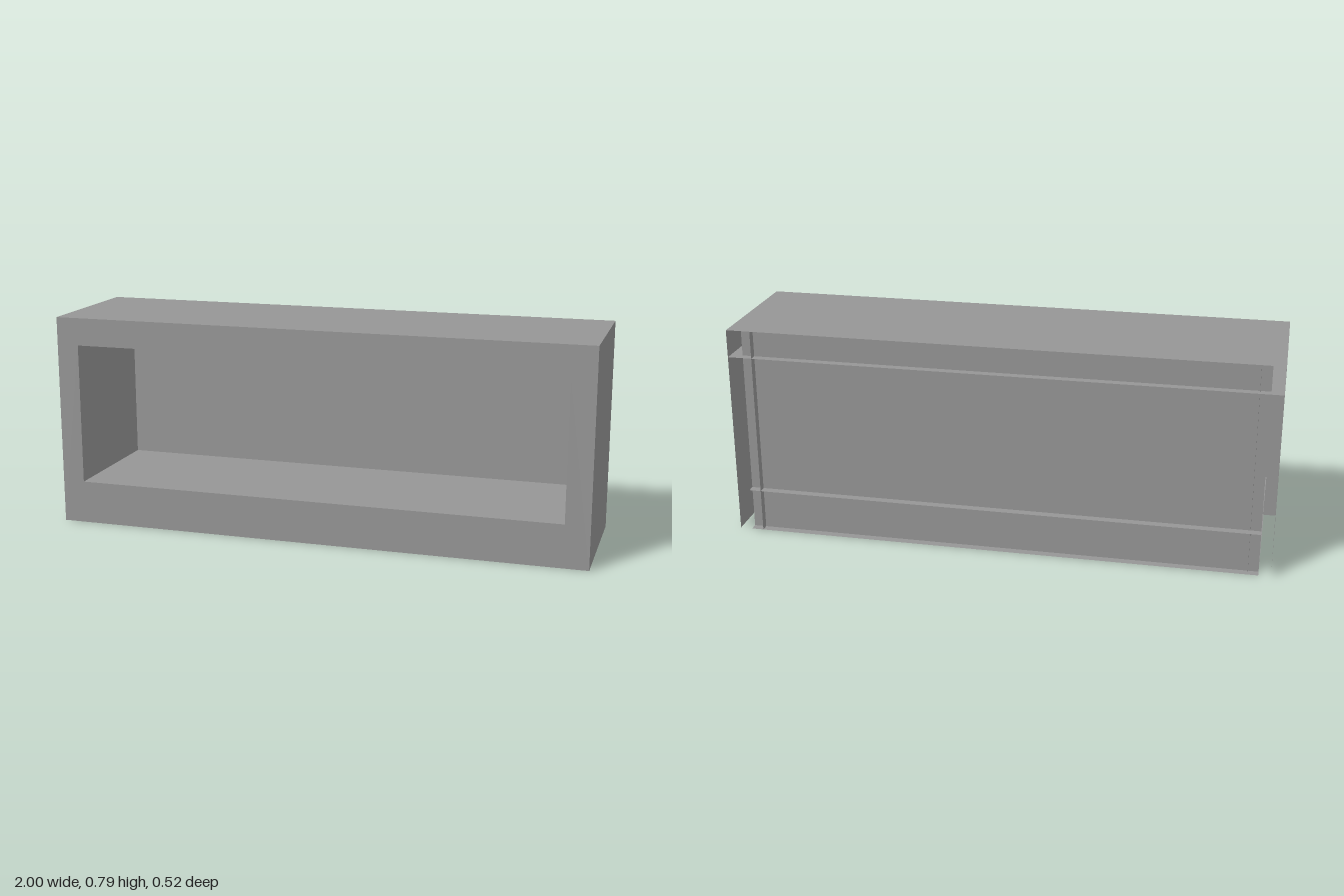
import * as THREE from 'three';

export function createModel() {
  const model = new THREE.Group();
  const grey = new THREE.MeshStandardMaterial({ color: 0x969696, side: THREE.DoubleSide });
  grey.name = 'plain grey';

  const H = 0.79, D = 0.26, BACK = -0.23;      // height, half depth, back board position
  const L = -0.917, R = 0.91, LOW = 0.16, HIGH = 0.687; // niche opening
  const INSET = 0.955;                          // half width of the shorter boards

  const add = (name, geometry) => {
    const mesh = new THREE.Mesh(geometry, grey);
    mesh.name = name;
    model.add(mesh);
  };

  // Thin sheets lying flat, or standing along the depth
  const flat = (name, y, halfWidth) =>
    add(name, new THREE.PlaneGeometry(2 * halfWidth, 2 * D).rotateX(-Math.PI / 2).translate(0, y, 0));
  const upright = (name, x) =>
    add(name, new THREE.PlaneGeometry(2 * D, H).rotateY(Math.sign(x) * Math.PI / 2).translate(x, H / 2, 0));

  // Front frame with the rectangular opening
  const frame = new THREE.Shape([[-1, 0], [1, 0], [1, H], [-1, H]].map(p => new THREE.Vector2(...p)));
  frame.holes.push(new THREE.Path([[L, LOW], [L, HIGH], [R, HIGH], [R, LOW]].map(p => new THREE.Vector2(...p))));
  add('frontFrame', new THREE.ShapeGeometry(frame).translate(0, 0, D));

  // Outer shell
  flat('topPanel', H, 1);
  flat('bottomPanel', 0, INSET);
  upright('leftSide', 1);
  upright('rightSide', -1);

  // Niche lining, reaching slightly past the recessed back board
  flat('nicheCeiling', HIGH, 1);
  flat('nicheFloor', LOW, INSET);
  upright('nicheLeftWall', R);
  upright('nicheRightWall', L);
  add('backBoard', new THREE.PlaneGeometry(2 * INSET, H).rotateY(Math.PI).translate(0, H / 2, BACK));

  return model;
}
